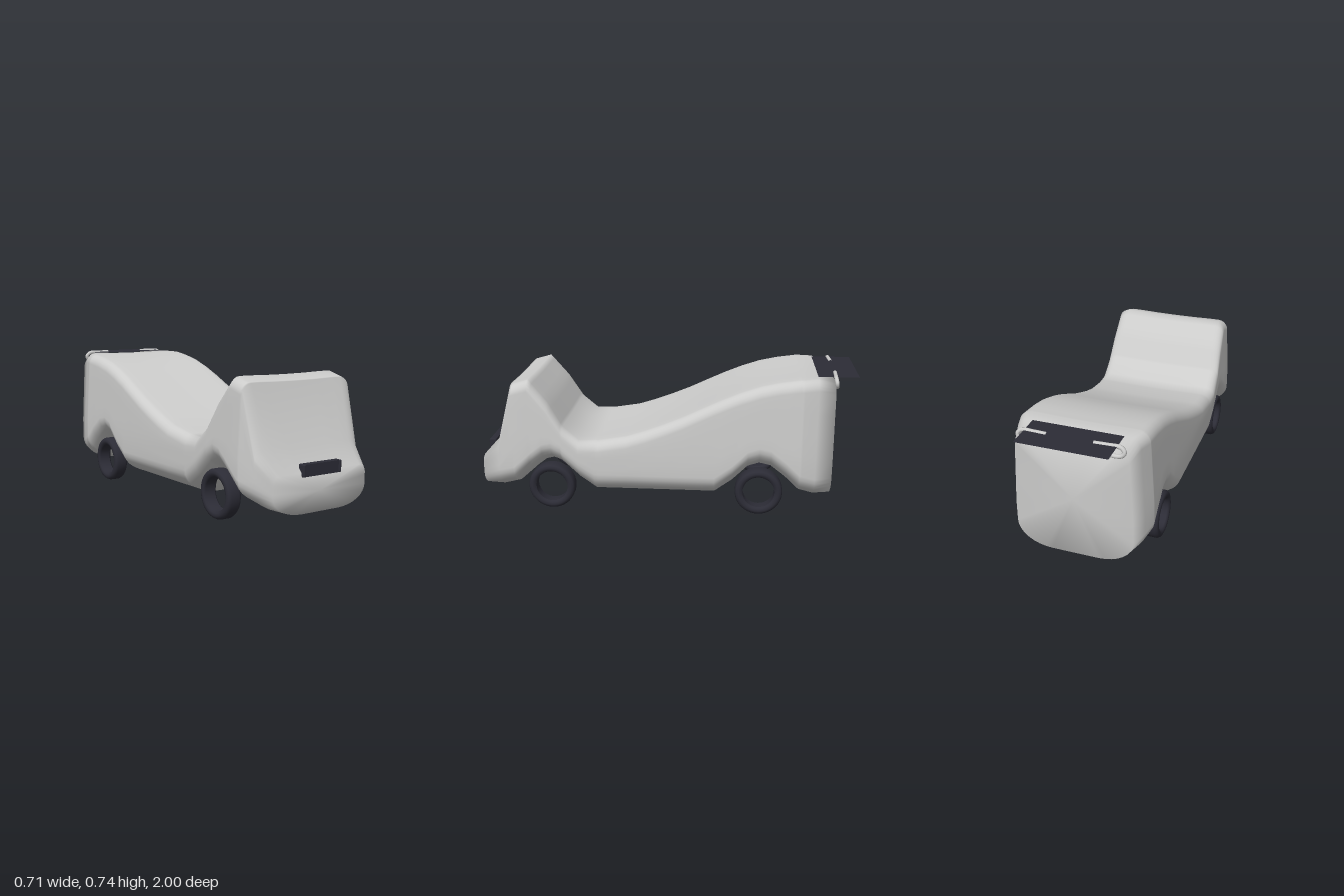
import * as THREE from 'three';
import { RoundedBoxGeometry } from 'three/addons/geometries/RoundedBoxGeometry.js';

const paint = new THREE.MeshStandardMaterial({ color: 0xcccccb });
paint.name = 'light grey';
const dark = new THREE.MeshStandardMaterial({ color: 0x2c2c36, side: THREE.DoubleSide });
dark.name = 'charcoal';

// Body outlines as [z, value], from nose to tail
const topLine = [[0.985, 0.275], [0.89, 0.38], [0.81, 0.682], [0.72, 0.708], [0.62, 0.59], [0.54, 0.46],
  [0.455, 0.388], [0.35, 0.39], [0.2, 0.415], [0.1, 0.447], [0, 0.485], [-0.1, 0.527], [-0.2, 0.575],
  [-0.3, 0.622], [-0.4, 0.664], [-0.5, 0.698], [-0.6, 0.72], [-0.7, 0.734], [-0.79, 0.737], [-0.88, 0.71]];
const bottomLine = [[0.985, 0.08], [0.89, 0.08], [0.8, 0.11], [0.7, 0.2], [0.65, 0.238], [0.6, 0.25], [0.55, 0.232],
  [0.455, 0.142], [0.37, 0.08], [-0.265, 0.08], [-0.36, 0.15], [-0.44, 0.23], [-0.5, 0.25], [-0.56, 0.237],
  [-0.64, 0.175], [-0.71, 0.108], [-0.79, 0.08], [-0.88, 0.08]];
const widthLine = [[0.985, 0.287], [0.8, 0.353], [-0.72, 0.353], [-0.88, 0.3]];

function sample(line, z) {
  for (let i = 1; i < line.length; i++) {
    const [z0, a] = line[i - 1], [z1, b] = line[i];
    if (z >= z1) return a + (b - a) * (z0 - z) / (z0 - z1);
  }
  return line[line.length - 1][1];
}

// Closed cross-section: small upper corners, broad lower corners, sides leaning in
function section(z) {
  const top = sample(topLine, z), bottom = sample(bottomLine, z), w = sample(widthLine, z);
  const h = top - bottom, r = Math.min(0.055, h * 0.2), rx = w * 0.6, ry = Math.min(0.13, h * 0.5);
  const half = [[0, top - 0.004], [w * 0.35, top - 0.003], [w * 0.68, top]];
  for (let i = 0; i <= 5; i++) {
    const a = i / 5 * Math.PI / 2;
    half.push([w - r + r * Math.sin(a), top - r + r * Math.cos(a)]);
  }
  const yTop = top - r, yLow = bottom + ry;
  for (let i = 1; i < 4; i++) half.push([w, yTop + (yLow - yTop) * i / 4]);
  for (let i = 0; i <= 8; i++) {
    const a = i / 8 * Math.PI / 2;
    half.push([w - rx + rx * Math.cos(a), yLow - ry * Math.sin(a)]);
  }
  half.push([0, bottom]);
  const lean = half.map(([x, y]) => [x * (1 - 0.17 * Math.max(0, y - 0.32)), y]);
  const mirrored = lean.slice(1, -1).reverse().map(([x, y]) => [-x, y]);
  return lean.concat(mirrored);
}

function bodyGeometry() {
  const stations = [...new Set([topLine, bottomLine, widthLine].flat().map(p => p[0]))].sort((a, b) => b - a);
  const pos = [], index = [];
  let n = 0;
  for (const z of stations) {
    const ring = section(z);
    n = ring.length;
    for (const [x, y] of ring) pos.push(x, y, z);
  }
  for (let i = 0; i < stations.length - 1; i++) {
    for (let j = 0; j < n; j++) {
      const a = i * n + j, b = i * n + (j + 1) % n;
      index.push(a, b, a + n, b, b + n, a + n);
    }
  }
  // Nose and tail close as fans
  const last = (stations.length - 1) * n, nose = stations.length * n, tail = nose + 1;
  pos.push(0, 0.18, 0.985, 0, 0.4, -0.885);
  for (let j = 0; j < n; j++) {
    const k = (j + 1) % n;
    index.push(nose, k, j, tail, last + j, last + k);
  }
  const g = new THREE.BufferGeometry();
  g.setAttribute('position', new THREE.Float32BufferAttribute(pos, 3));
  g.setIndex(index);
  g.computeVertexNormals();
  return g;
}

// Open ring tyre turned around the x axis
function wheelGeometry() {
  const profile = [[0.084, -0.028], [0.092, -0.037], [0.105, -0.04], [0.118, -0.035], [0.125, -0.022],
    [0.125, 0.022], [0.118, 0.035], [0.105, 0.04], [0.092, 0.037], [0.084, 0.028], [0.084, -0.028]];
  const g = new THREE.LatheGeometry(profile.map(p => new THREE.Vector2(...p)), 40);
  g.rotateZ(Math.PI / 2);
  return g;
}

export function createModel() {
  const model = new THREE.Group();
  model.name = 'car';
  const add = (name, geometry, material, x = 0, y = 0, z = 0) => {
    const m = new THREE.Mesh(geometry, material);
    m.name = name;
    m.position.set(x, y, z);
    model.add(m);
    return m;
  };

  add('body', bodyGeometry(), paint);

  // Wheels
  const wheel = wheelGeometry();
  for (const [end, z] of [['front', 0.605], ['rear', -0.5]]) {
    add(end + 'LeftWheel', wheel, dark, 0.302, 0.13, z);
    add(end + 'RightWheel', wheel, dark, -0.302, 0.13, z);
  }

  // Nose grille with raised end caps
  add('grille', new THREE.BoxGeometry(0.22, 0.058, 0.035), dark, 0, 0.284, 0.978);
  for (const s of [-1, 1]) {
    add('grilleEnd', new RoundedBoxGeometry(0.016, 0.06, 0.04, 2, 0.006), dark, s * 0.11, 0.284, 0.98);
  }

  // Tail wing
  const wing = new THREE.PlaneGeometry(0.456, 0.21);
  wing.rotateX(-Math.PI / 2);
  add('wing', wing, dark, 0, 0.739, -0.895);

  // Bent wing brackets
  for (const s of [-1, 1]) {
    const path = new THREE.CatmullRomCurve3([[0.115, 0.736, -0.885], [0.18, 0.736, -0.882], [0.245, 0.733, -0.88],
      [0.262, 0.712, -0.884], [0.245, 0.692, -0.886], [0.16, 0.69, -0.886]]
      .map(([x, y, z]) => new THREE.Vector3(s * x, y, z)));
    add(s > 0 ? 'leftWingBracket' : 'rightWingBracket', new THREE.TubeGeometry(path, 30, 0.011, 8), paint);
  }
  return model;
}
